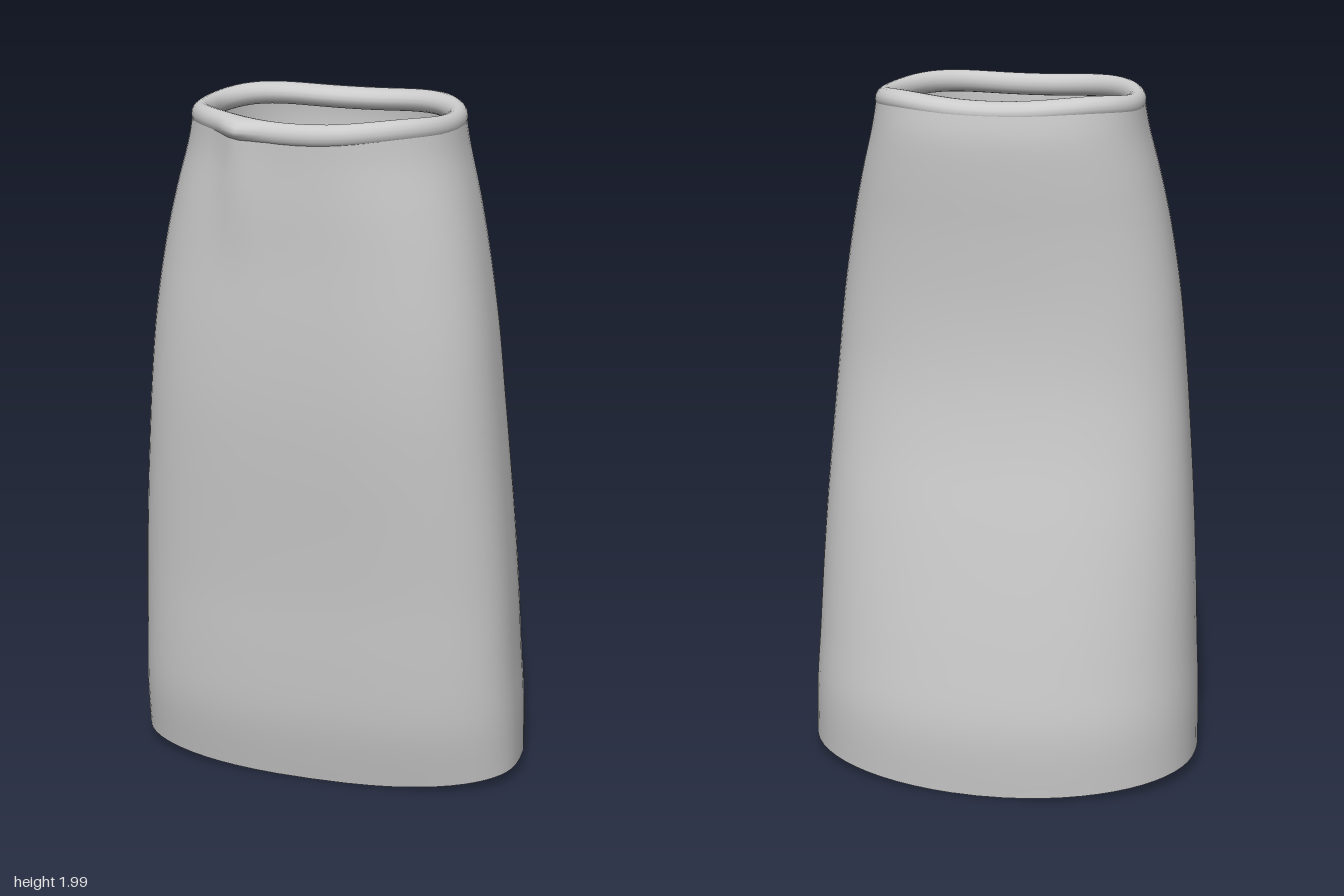
import * as THREE from 'three';

const SIDES = 64;

// Rounded oval point: widest at mid, with its own depth and roundness front and back
function ovalPoint(a, { halfWidth, front, mid, back, frontPower, backPower }) {
  const c = Math.cos(a), s = Math.sin(a);
  const power = s > 0 ? frontPower : backPower;
  const round = v => Math.sign(v) * Math.pow(Math.abs(v), 2 / power);
  return [halfWidth * round(c), mid + (s > 0 ? front - mid : mid - back) * round(s)];
}

// Small gathered fold at the front right of the waist
const fold = (x, a) => (Math.sin(a) > 0 ? Math.exp(-(((x + 0.17) / 0.045) ** 2)) : 0);

// Skin a grid of points: point(row, angle) gives [x, y, z]
function loft(rows, closedRows, point) {
  const pos = [], index = [];
  for (let r = 0; r < rows; r++)
    for (let i = 0; i < SIDES; i++) pos.push(...point(r, (i / SIDES) * Math.PI * 2));
  for (let r = 0; r < (closedRows ? rows : rows - 1); r++)
    for (let i = 0; i < SIDES; i++) {
      const j = (i + 1) % SIDES, up = ((r + 1) % rows) * SIDES, low = r * SIDES;
      index.push(low + i, up + i, low + j, low + j, up + i, up + j);
    }
  const g = new THREE.BufferGeometry();
  g.setAttribute('position', new THREE.Float32BufferAttribute(pos, 3));
  g.setIndex(index);
  g.computeVertexNormals();
  return g;
}

// Catmull-Rom blend between the rows of a section table
function sectionAt(table, t) {
  const f = t * (table.length - 1), k = Math.min(Math.floor(f), table.length - 2), w = f - k;
  const row = n => table[Math.max(0, Math.min(table.length - 1, n))];
  return table[k].map((p1, c) => {
    const p0 = row(k - 1)[c], p2 = row(k + 1)[c], p3 = row(k + 2)[c];
    return 0.5 * (2 * p1 + (p2 - p0) * w + (2 * p0 - 5 * p1 + 4 * p2 - p3) * w * w
      + (3 * p1 - p0 - 3 * p2 + p3) * w * w * w);
  });
}

export function createModel() {
  const group = new THREE.Group();
  group.name = 'skirt';
  const material = new THREE.MeshStandardMaterial({ color: 0xcccccc, side: THREE.DoubleSide });

  // Skirt body: height, half width, front z, widest z, back z, front and back roundness
  const sections = [
    [0.01, 0.575, 0.24, 0, -0.375, 2.8, 2.3],
    [0.2, 0.572, 0.278, 0.005, -0.386, 2.9, 2.3],
    [0.4, 0.562, 0.295, 0.015, -0.362, 2.95, 2.3],
    [0.6, 0.553, 0.306, 0.025, -0.33, 2.95, 2.28],
    [0.8, 0.541, 0.322, 0.035, -0.294, 2.95, 2.25],
    [1.0, 0.526, 0.34, 0.045, -0.255, 2.9, 2.2],
    [1.2, 0.509, 0.354, 0.055, -0.229, 2.85, 2.15],
    [1.4, 0.489, 0.36, 0.06, -0.222, 2.75, 2.15],
    [1.6, 0.458, 0.361, 0.06, -0.231, 2.6, 2.15],
    [1.75, 0.426, 0.364, 0.055, -0.243, 2.45, 2.2],
    [1.88, 0.393, 0.365, 0.05, -0.249, 2.3, 2.25],
    [1.965, 0.378, 0.368, 0.045, -0.238, 2.25, 2.25],
  ];
  const rows = 45;
  const body = new THREE.Mesh(loft(rows, false, (r, a) => {
    const [y, halfWidth, front, mid, back, frontPower, backPower] = sectionAt(sections, r / (rows - 1));
    const [x, z] = ovalPoint(a, { halfWidth, front, mid, back, frontPower, backPower });
    // Hem rises towards the sides
    const lift = 0.04 * Math.pow(Math.abs(Math.cos(a)), 1.5) * Math.max(0, 1 - y / 0.35);
    const fade = THREE.MathUtils.smoothstep(y, 1.5, 1.95);
    return [x, y + lift, z + 0.02 * fold(x, a) * fade];
  }), material);
  body.name = 'skirtBody';
  group.add(body);

  // Rolled waistband with a gentle wave
  const ringSteps = 16;
  const band = new THREE.Mesh(loft(ringSteps, true, (r, a) => {
    const p = (r / ringSteps) * Math.PI * 2, out = Math.cos(p);
    const [x, z] = ovalPoint(a, {
      halfWidth: 0.355 + 0.027 * out,
      front: 0.346 + 0.029 * out,
      mid: 0.045,
      back: -0.198 - 0.043 * out,
      frontPower: 2.25,
      backPower: 2.25,
    });
    const y = 1.962 + 0.032 * Math.sin(p) - 0.006 * Math.cos(4 * a);
    return [x, y, z + 0.035 * fold(x, a) * Math.max(0, out)];
  }), material);
  band.name = 'waistband';
  group.add(band);

  return group;
}
